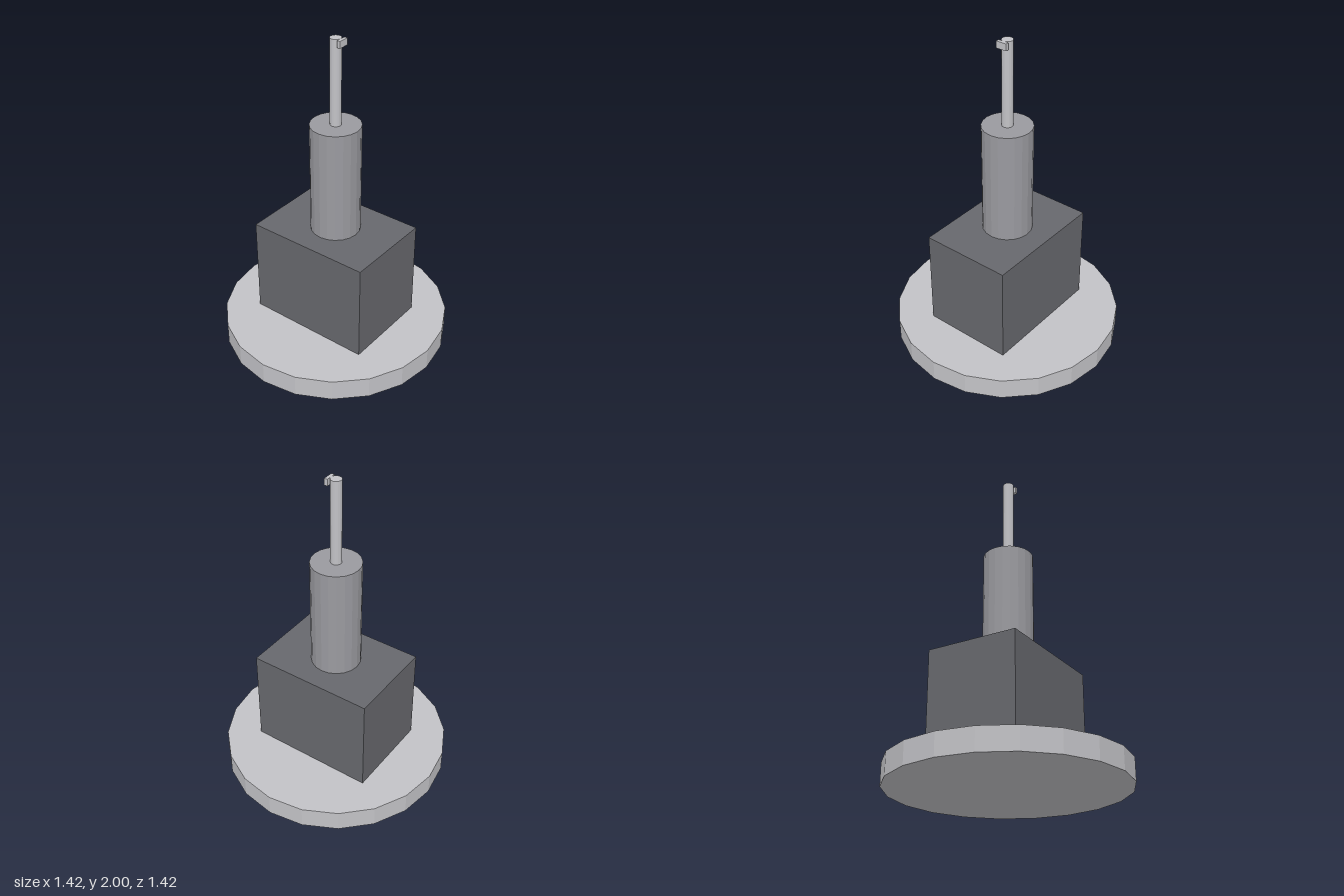
import * as THREE from 'three';

const mat = (name, color) => {
  const m = new THREE.MeshStandardMaterial({ color, flatShading: true });
  m.name = name;
  return m;
};

export function createModel() {
  const group = new THREE.Group();
  const lightGrey = mat('light grey', 0xc2c2c6);
  const midGrey = mat('mid grey', 0x9a9a9f);
  const darkGrey = mat('dark grey', 0x67686d);

  const add = (name, geometry, material, x, y) => {
    const mesh = new THREE.Mesh(geometry, material);
    mesh.name = name;
    mesh.position.set(x, y, 0);
    group.add(mesh);
  };
  // Upright 20-sided cylinder between two heights
  const post = (name, r, y0, y1, material) =>
    add(name, new THREE.CylinderGeometry(r, r, y1 - y0, 20), material, 0, (y0 + y1) / 2);

  // Round base plate
  post('basePlate', 0.71, 0, 0.137, lightGrey);
  // Rectangular housing
  add('housing', new THREE.BoxGeometry(0.8, 0.623, 0.575), darkGrey, 0, 0.137 + 0.623 / 2);
  // Wide column and thin shaft
  post('column', 0.154, 0.76, 1.467, midGrey);
  post('shaft', 0.034, 1.467, 2, lightGrey);
  // Small key on the left side of the shaft tip
  add('shaftKey', new THREE.BoxGeometry(0.021, 0.042, 0.068), lightGrey, 0.0445, 1.979);

  return group;
}
